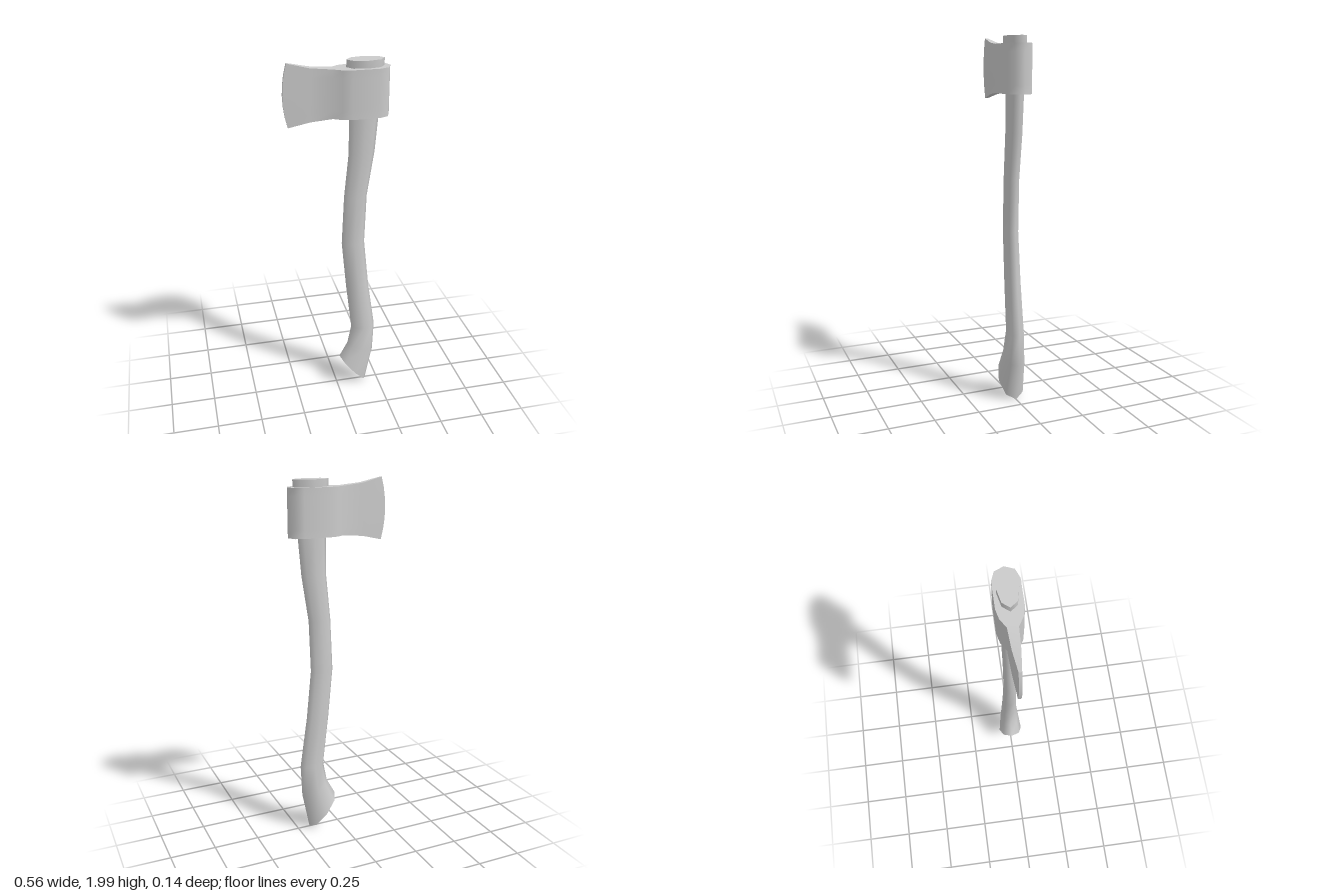
import * as THREE from 'three';
import { toCreasedNormals } from 'three/addons/utils/BufferGeometryUtils.js';

// Skin closed rings (bottom to top, counter-clockwise from above, mirrored in z) and cap both ends.
function loft(rings) {
  const n = rings[0].length;
  const pos = rings.flat(2);
  const index = [];
  for (let r = 0; r < rings.length - 1; r++) {
    for (let i = 0; i < n; i++) {
      const a = r * n + i, b = r * n + (i + 1) % n;
      index.push(a, b, b + n, a, b + n, a + n);
    }
  }
  const cap = (ring, up) => {
    const base = pos.length / 3;
    pos.push(...ring.flat());
    const tri = (a, b, c) => {
      if (a === b || b === c || a === c) return;
      index.push(base + a, base + (up ? b : c), base + (up ? c : b));
    };
    for (let i = 0; i <= (n - 1) / 2; i++) {
      const j = (n - i) % n, k = n - i - 1;
      tri(i, i + 1, k);
      tri(i, k, j);
    }
  };
  cap(rings[0], false);
  cap(rings[rings.length - 1], true);
  const geo = new THREE.BufferGeometry();
  geo.setAttribute('position', new THREE.Float32BufferAttribute(pos, 3));
  geo.setIndex(index);
  geo.computeVertexNormals();
  return geo;
}

// Curved handle: each section is an eight-sided ellipse between a left and a right point.
function handleGeometry() {
  // left x, left y, right x, right y, half depth
  const sections = [
    [0.018, 0.195, 0.18, 0.008, 0.072],
    [0.067, 0.285, 0.222, 0.22, 0.058],
    [0.09, 0.40, 0.23, 0.40, 0.046],
    [0.056, 0.69, 0.188, 0.69, 0.041],
    [0.03, 0.965, 0.16, 0.965, 0.037],
    [0.042, 1.25, 0.17, 1.25, 0.037],
    [0.066, 1.50, 0.208, 1.50, 0.039],
    [0.066, 1.71, 0.226, 1.71, 0.041],
    [0.05, 1.95, 0.25, 1.95, 0.052],
    [0.05, 2.0, 0.25, 2.0, 0.052],
  ];
  return loft(sections.map(([xl, yl, xr, yr, depth]) =>
    Array.from({ length: 8 }, (_, i) => {
      const a = i * Math.PI / 4, t = (1 + Math.cos(a)) / 2;
      return [xl + (xr - xl) * t, yl + (yr - yl) * t, -depth * Math.sin(a)];
    })));
}

// Axe head: plan outline stacked in rows, flaring towards a bowed cutting edge.
function headGeometry() {
  // x, half thickness, half height
  const plan = [
    [0.28, 0, 0.128], [0.26, 0.048, 0.128], [0.212, 0.067, 0.128], [0.07, 0.067, 0.128],
    [0.02, 0.055, 0.128], [-0.025, 0.027, 0.128], [-0.14, 0.021, 0.139], [-0.28, 0.008, 0.166],
  ];
  const outline = [
    ...plan.map(([x, z, h]) => [x, -z, h]),
    ...plan.slice(1).reverse(),
  ];
  const rows = [-1, -0.67, -0.33, 0, 0.33, 0.67, 1];
  const rings = rows.map((t) => outline.map(([x, z, h]) =>
    [x < -0.2 ? x + 0.024 * t * t : x, 1.833 + h * t, z]));
  return toCreasedNormals(loft(rings), 0.87);
}

export function createModel() {
  const group = new THREE.Group();
  group.name = 'axe';
  const material = new THREE.MeshStandardMaterial({ color: 0xcccccc });
  const add = (name, geometry) => {
    const mesh = new THREE.Mesh(geometry, material);
    mesh.name = name;
    group.add(mesh);
  };
  add('handle', handleGeometry());
  add('axeHead', headGeometry());
  return group;
}
